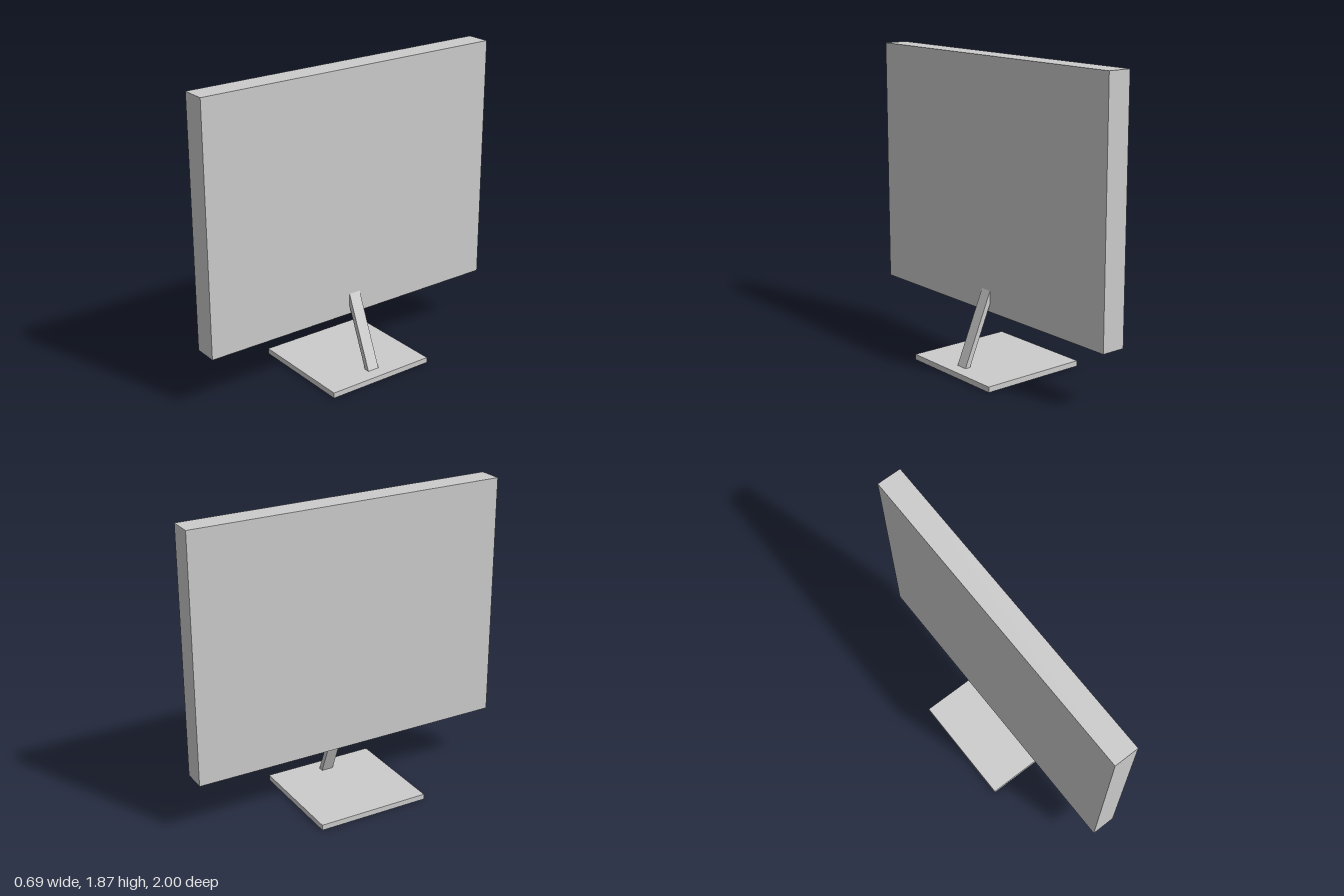
import * as THREE from 'three';

const material = new THREE.MeshStandardMaterial({ color: 0xcccccc, flatShading: true });

function addPart(group, name, geometry, x = 0, y = 0, z = 0) {
  const mesh = new THREE.Mesh(geometry, material);
  mesh.name = name;
  mesh.position.set(x, y, z);
  group.add(mesh);
}

export function createModel() {
  const group = new THREE.Group();
  group.name = 'monitor';

  // Flat screen slab and square foot plate
  addPart(group, 'screen', new THREE.BoxGeometry(0.15, 1.52, 2), 0, 1.107, 0);
  addPart(group, 'base', new THREE.BoxGeometry(0.685, 0.034, 0.71), 0, 0.017, 0);

  // Slanted support arm, cut flush with the screen back and the base
  const profile = new THREE.Shape([
    new THREE.Vector2(0.074, 0.4),
    new THREE.Vector2(0.228, 0.033),
    new THREE.Vector2(0.263, 0.033),
    new THREE.Vector2(0.074, 0.48),
  ]);
  const width = 0.076;
  const arm = new THREE.ExtrudeGeometry(profile, { depth: width, bevelEnabled: false });
  addPart(group, 'supportArm', arm, 0, 0, -width / 2);

  return group;
}
